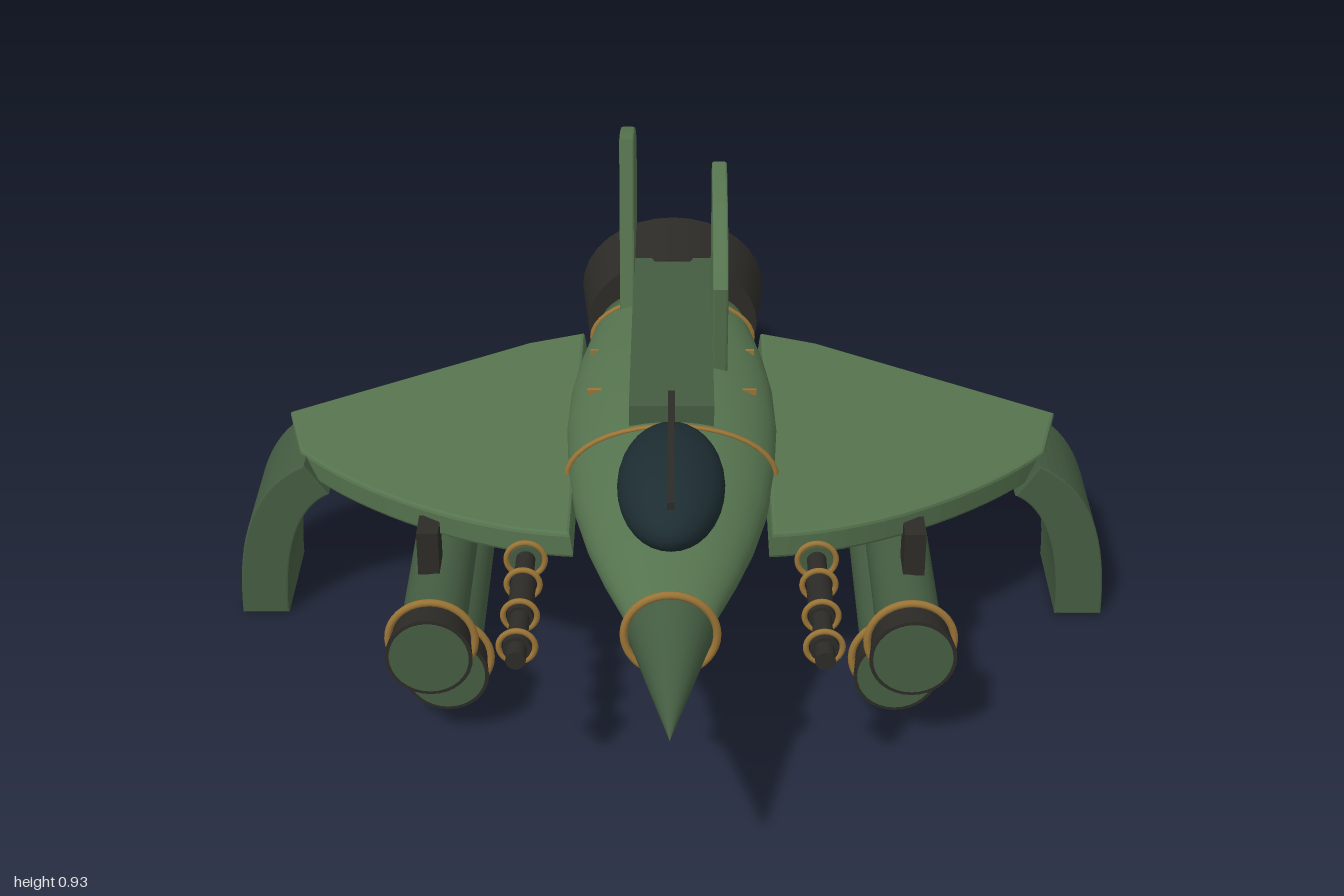
import * as THREE from 'three';

const mat = (color) => new THREE.MeshStandardMaterial({ color });
const green = mat(0x56744f), deep = mat(0x445c41), dark = mat(0x2c2b27);
const gold = mat(0x9a7436), glass = mat(0x1d2d32);
const AXIS_Y = 0.455;

function add(parent, name, geometry, material, x = 0, y = 0, z = 0) {
  const mesh = new THREE.Mesh(geometry, material);
  mesh.name = name;
  mesh.position.set(x, y, z);
  parent.add(mesh);
  return mesh;
}

// Cylinder lying along z, given its front and back z and radii
function tube(parent, name, material, x, y, zFront, zBack, rFront, rBack = rFront) {
  const g = new THREE.CylinderGeometry(rFront, rBack, zFront - zBack, 32).rotateX(Math.PI / 2);
  return add(parent, name, g, material, x, y, (zFront + zBack) / 2);
}

function ring(parent, name, x, y, z, radius, thick = 0.007) {
  return add(parent, name, new THREE.TorusGeometry(radius, thick, 8, 40), gold, x, y, z);
}

function box(parent, name, material, w, h, d, x, y, z) {
  return add(parent, name, new THREE.BoxGeometry(w, h, d), material, x, y, z);
}

const bevelled = (shape, depth, bevel) => new THREE.ExtrudeGeometry(shape, {
  depth: depth - 2 * bevel, bevelThickness: bevel, bevelSize: bevel,
  bevelOffset: -bevel, bevelSegments: 2, curveSegments: 16,
}).translate(0, 0, bevel);

function buildFuselage(model) {
  // Flattened lathed hull
  const profile = [[0, 0.66], [0.075, 0.65], [0.095, 0.58], [0.135, 0.46], [0.17, 0.34], [0.2, 0.2],
    [0.22, 0.04], [0.23, -0.14], [0.226, -0.3], [0.21, -0.45], [0.185, -0.6], [0.165, -0.7], [0, -0.7]];
  const pts = profile.map(([r, z]) => new THREE.Vector2(r, z)).reverse();
  const hull = new THREE.LatheGeometry(pts, 48).rotateX(Math.PI / 2).scale(1, 0.55, 1);
  add(model, 'fuselage', hull, green, 0, AXIS_Y);

  const cone = new THREE.ConeGeometry(0.085, 0.36, 32).rotateX(Math.PI / 2);
  add(model, 'noseCone', cone, deep, 0, AXIS_Y, 0.82);
  ring(model, 'noseRing', 0, AXIS_Y, 0.655, 0.09, 0.008);
  for (const [z, r] of [[-0.05 + 0.1, 0.222], [-0.605, 0.187]]) {
    ring(model, 'hullBand', 0, AXIS_Y, z, r).scale.y = 0.555;
  }
  for (const s of [1, -1]) for (const z of [-0.17, -0.39]) {
    box(model, 'hullMark', gold, 0.04, 0.012, 0.008, s * 0.165, AXIS_Y + (z < -0.3 ? 0.07 : 0.087), z);
  }

  box(model, 'spine', deep, 0.18, 0.16, 0.73, 0, 0.535, -0.335);
  box(model, 'belly', deep, 0.2, 0.15, 0.96, 0, 0.375, -0.21);

  // Canopy with a centre frame bar
  const dome = new THREE.SphereGeometry(1, 32, 20).scale(0.11, 0.085, 0.22);
  add(model, 'canopy', dome, glass, 0, 0.562, 0.27);
  box(model, 'canopyFrame', dark, 0.014, 0.016, 0.46, 0, 0.645, 0.263);

  const pod = new THREE.SphereGeometry(1, 24, 16).scale(0.052, 0.045, 0.09);
  add(model, 'chinPod', pod, dark, 0, 0.322, 0.47);
}

function buildEngine(model) {
  tube(model, 'engineHousing', dark, 0, 0.453, -0.68, -0.885, 0.2, 0.22).scale.y = 0.83;
  for (const s of [1, -1]) tube(model, 'exhaust', glass, s * 0.08, AXIS_Y, -0.8, -0.905, 0.077);
}

function buildFins(model) {
  // Second fin is the first turned half round about the tail
  const s = new THREE.Shape();
  s.moveTo(0.25, 0.45);
  s.lineTo(0.188, 0.78);
  s.quadraticCurveTo(0.3, 0.905, 0.53, 0.932);
  s.lineTo(0.615, 0.45);
  const g = bevelled(s, 0.034, 0.005).rotateY(Math.PI / 2);
  add(model, 'leftFin', g, green, 0.088);
  const right = add(model, 'rightFin', g, green, -0.088, 0, -1.188);
  right.rotation.y = Math.PI;
}

function buildPod(side, x, y, zFront, zBack) {
  const pod = new THREE.Group();
  pod.name = 'weaponPod';
  side.add(pod);
  tube(pod, 'podBody', deep, x, y, zFront - 0.06, zBack + 0.05, 0.068);
  tube(pod, 'podMuzzle', dark, x, y, zFront, zFront - 0.075, 0.09, 0.08);
  tube(pod, 'podFace', deep, x, y, zFront + 0.002, zFront - 0.01, 0.082);
  ring(pod, 'podRing', x, y, zFront - 0.068, 0.09, 0.008);
  tube(pod, 'podExhaust', glass, x, y, zBack + 0.06, zBack, 0.06, 0.064);
}

function buildSide(model, name, sign) {
  const side = new THREE.Group();
  side.name = name;
  side.scale.x = sign;
  model.add(side);

  // Drooping wing plate with a curved leading edge
  const w = new THREE.Shape();
  w.moveTo(0, -0.3);
  w.bezierCurveTo(0.2, -0.25, 0.47, -0.04, 0.625, 0.18);
  w.lineTo(0.672, 0.37);
  w.lineTo(0.13, 0.59);
  w.lineTo(0, 0.61);
  const wing = add(side, 'wing', bevelled(w, 0.06, 0.008).rotateX(-Math.PI / 2), green, 0.2, 0.405);
  wing.rotation.z = -0.122;

  // Curved landing leg at the wing tip
  const l = new THREE.Shape();
  l.moveTo(0.87, 0);
  l.lineTo(0.975, 0);
  l.bezierCurveTo(0.975, 0.2, 0.93, 0.33, 0.81, 0.385);
  l.lineTo(0.76, 0.31);
  l.bezierCurveTo(0.83, 0.28, 0.87, 0.17, 0.87, 0);
  add(side, 'landingLeg', bevelled(l, 0.265, 0.004), deep, 0, 0, -0.38);

  // Stacked pods hung from a pylon
  buildPod(side, 0.495, 0.24, 0.42, -0.41);
  buildPod(side, 0.475, 0.11, 0.29, -0.55);
  box(side, 'pylon', dark, 0.045, 0.1, 0.075, 0.51, 0.355, 0.168);

  // Banded wing gun
  tube(side, 'gunBarrel', dark, 0.3, 0.39, 0.65, 0.2, 0.02);
  tube(side, 'gunTip', dark, 0.3, 0.39, 0.61, 0.58, 0.028);
  tube(side, 'gunSleeve', dark, 0.3, 0.39, 0.5, 0.37, 0.026);
  tube(side, 'gunMount', deep, 0.3, 0.385, 0.28, -0.05, 0.035);
  for (const [z, r] of [[0.6, 0.036], [0.49, 0.034], [0.375, 0.034], [0.28, 0.04]]) {
    ring(side, 'gunRing', 0.3, 0.39, z, r, 0.006);
  }
}

export function createModel() {
  const model = new THREE.Group();
  model.name = 'fighter';
  buildFuselage(model);
  buildEngine(model);
  buildFins(model);
  buildSide(model, 'leftSide', 1);
  buildSide(model, 'rightSide', -1);
  return model;
}
